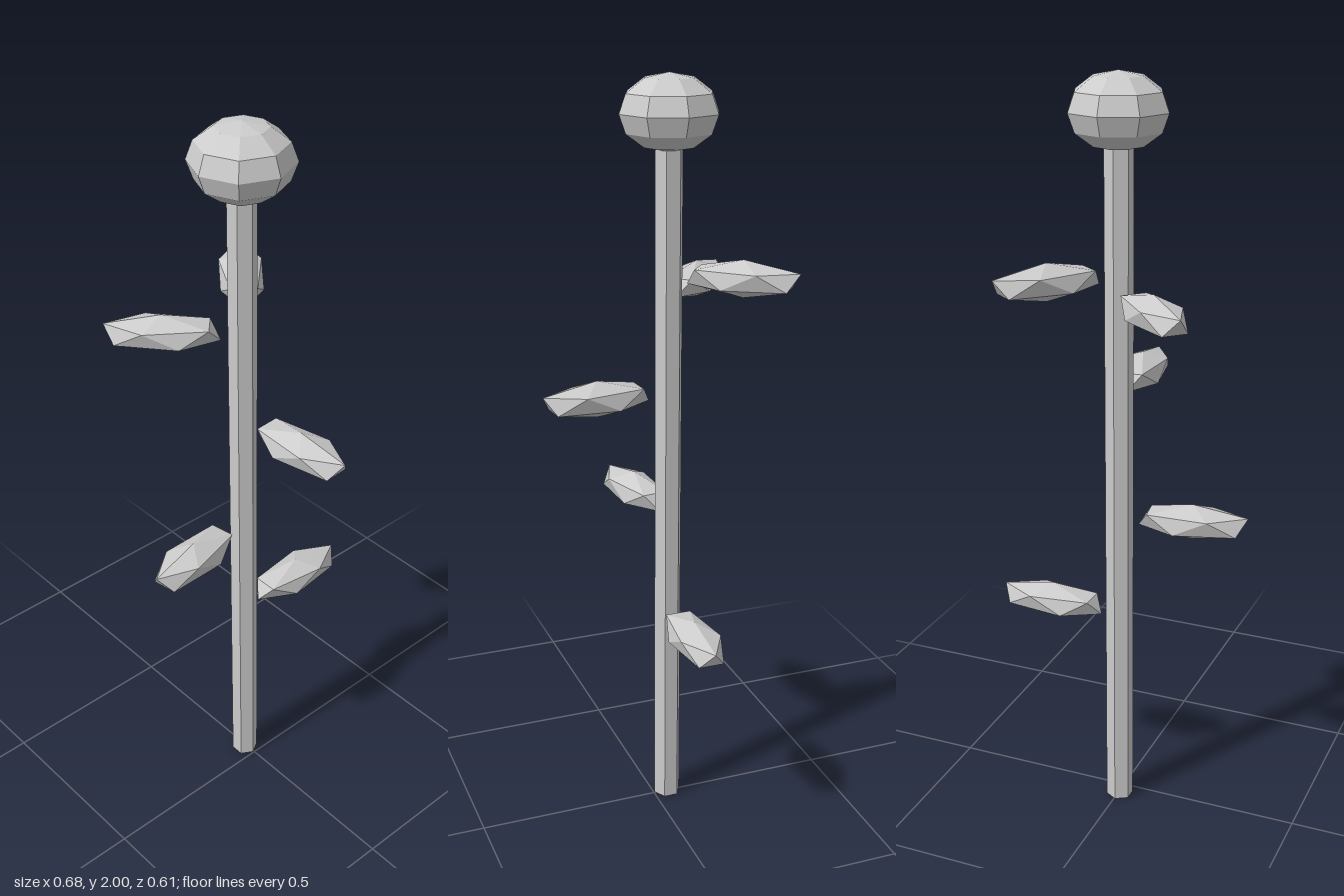
import * as THREE from 'three';

const material = new THREE.MeshStandardMaterial({ color: 0xcccccc, flatShading: true });
const STEM_Z = -0.04;

// Faceted leaf: an icosahedron stood on one vertex and stretched along +z, tip on the upper ring
function leafGeometry() {
  const geometry = new THREE.IcosahedronGeometry(1, 0);
  geometry.rotateX(-Math.atan((1 + Math.sqrt(5)) / 2));
  geometry.scale(0.065, 0.048, 0.162);
  return geometry;
}

export function createModel() {
  const group = new THREE.Group();
  group.name = 'plant';

  const add = (name, geometry, x, y, z) => {
    const mesh = new THREE.Mesh(geometry, material);
    mesh.name = name;
    mesh.position.set(x, y, z);
    group.add(mesh);
    return mesh;
  };

  // Six-sided stem, running up into the bud
  add('stem', new THREE.CylinderGeometry(0.037, 0.037, 1.85, 6), -0.003, 0.925, STEM_Z);

  // Flattened round bud
  const bud = new THREE.SphereGeometry(0.13, 8, 6).scale(1, 0.73, 1);
  add('bud', bud, -0.002, 1.905, STEM_Z);

  // Leaves spiralling up the stem: centre and the direction of the tip (x, z)
  const leaf = leafGeometry();
  const leaves = [
    [0.195, 0.578, -0.04, 1, 0],
    [-0.2, 0.863, -0.015, -0.142, 0.023],
    [0.011, 1.203, 0.16, 0.01, 0.143],
    [-0.148, 1.455, -0.175, -0.105, -0.1],
    [0.125, 1.51, -0.189, 0.09, -0.115],
  ];
  leaves.forEach(([x, y, z, dx, dz], i) => {
    add(`leaf${i + 1}`, leaf, x, y, z).rotation.y = Math.atan2(dx, dz);
  });

  return group;
}
